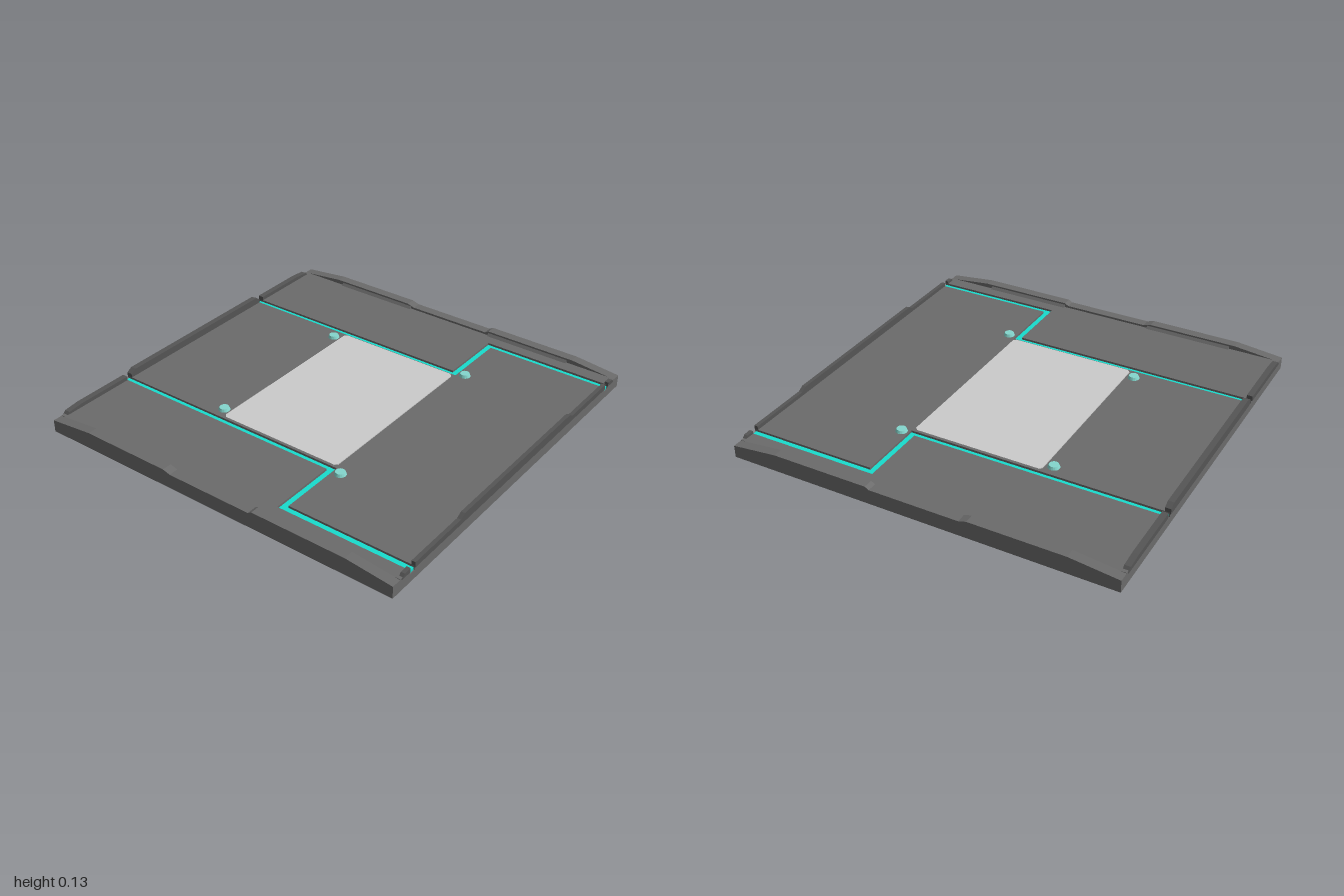
import * as THREE from 'three';

const mat = (color, side = THREE.FrontSide) => new THREE.MeshStandardMaterial({ color, flatShading: true, side });
const body = mat(0x6b6b6b), trim = mat(0x555555), teal = mat(0x18dccd), plateMat = mat(0xcccccc);
const ringMat = mat(0x484848), lamp = mat(0x84d6cd), patch = mat(0x5a5a5a);

export function createModel() {
  const root = new THREE.Group();
  root.name = 'floorTile';

  const add = (name, geo, material, x = 0, y = 0, z = 0) => {
    const m = new THREE.Mesh(geo, material);
    m.name = name;
    m.position.set(x, y, z);
    root.add(m);
    return m;
  };
  // box given by its min and max corners
  const box = (name, material, x0, x1, y0, y1, z0, z1) =>
    add(name, new THREE.BoxGeometry(x1 - x0, y1 - y0, z1 - z0), material, (x0 + x1) / 2, (y0 + y1) / 2, (z0 + z1) / 2);
  const outline = (pts) => new THREE.Shape(pts.map(([a, b]) => new THREE.Vector2(a, b)));
  const extrude = (pts, depth) => new THREE.ExtrudeGeometry(outline(pts), { depth, bevelEnabled: false });
  // horizontal slab from [x, z] points
  const slab = (name, material, pts, y0, y1) => {
    const m = add(name, extrude(pts.map(([x, z]) => [x, -z]), y1 - y0), material, 0, y0, 0);
    m.rotation.x = -Math.PI / 2;
    return m;
  };

  // base and floor panels, separated by the channels
  box('base', body, -0.95, 0.95, 0.027, 0.07, -0.995, 0.99);
  slab('centrePanel', body, [
    [-0.5, -0.995], [0.5, -0.995], [0.5, 0.33], [0.845, 0.33],
    [0.845, 0.99], [-0.845, 0.99], [-0.845, 0.33], [-0.5, 0.33],
  ], 0.07, 0.093);

  for (const s of [1, -1]) {
    slab('sidePanel', body, [
      [0.53, -0.995], [0.95, -0.995], [0.95, 0.99], [0.88, 0.99], [0.88, 0.295], [0.53, 0.295],
    ].map(([x, z]) => [s * x, z]), 0.07, 0.093);

    // glowing strip lying in the channel
    slab('lightStrip', teal, [
      [0.5, -0.99], [0.53, -0.99], [0.53, 0.295], [0.88, 0.295],
      [0.88, 0.985], [0.845, 0.985], [0.845, 0.33], [0.5, 0.33],
    ].map(([x, z]) => [s * x, z]), 0.068, 0.082);

    // side rim: tapering ends and a lower middle
    const rim = add('sideRim', extrude([
      [-0.99, 0.027], [0.995, 0.027], [0.995, 0.09], [0.75, 0.116], [0.27, 0.116], [0.23, 0.104],
      [-0.23, 0.104], [-0.25, 0.116], [-0.75, 0.116], [-0.99, 0.09],
    ], 0.05), body, s > 0 ? 0.95 : -1, 0, 0);
    rim.rotation.y = Math.PI / 2;

    // sloping lip inside each rim
    for (const [z0, z1] of [[-0.72, -0.25], [0.25, 0.72]]) {
      const lip = add('rimLip', extrude([[0, 0.09], [s * 0.015, 0.09], [s * 0.015, 0.108]], z1 - z0), body, s * 0.936, 0, z0);
      lip.material = mat(0x6b6b6b, THREE.DoubleSide);
    }

    // round lamps beside the plate
    for (const [x, z] of [[0.44, -0.4], [0.525, 0.37]])
      add('lamp', new THREE.CylinderGeometry(0.024, 0.03, 0.016, 20), lamp, s * x, 0.1, z);

    // outer parts of the end ridges, broken where the channels run out
    const back = [[0.53, 0.085], [0.94, 0.085], [0.92, 0.105], [0.84, 0.113], [0.53, 0.113]];
    const front = [[0.88, 0.085], [0.94, 0.085], [0.92, 0.105], [0.88, 0.107]];
    add('backRidgeEnd', extrude(back.map(([x, y]) => [s * x, y]), 0.03), trim, 0, 0, -1);
    add('frontRidgeEnd', extrude(front.map(([x, y]) => [s * x, y]), 0.02), trim, 0, 0, 0.973);
  }

  // middle parts of the end ridges
  const ridge = (w) => [[-w, 0.085], [w, 0.085], [w, 0.113], [0.5, 0.113], [0.47, 0.13],
    [-0.47, 0.13], [-0.5, 0.113], [-w, 0.113]];
  add('frontRidge', extrude(ridge(0.845), 0.02), trim, 0, 0, 0.973);
  add('backRidge', extrude([[-0.5, 0.085], [0.5, 0.085], [0.5, 0.113], [0.47, 0.13], [-0.47, 0.13], [-0.5, 0.113]], 0.03), trim, 0, 0, -1);

  // pale centre plate with clipped corners
  const [x1, z0, z1, c] = [0.49, -0.36, 0.32, 0.015];
  slab('centrePlate', plateMat, [
    [-x1 + c, z0], [x1 - c, z0], [x1, z0 + c], [x1, z1 - c],
    [x1 - c, z1], [-x1 + c, z1], [-x1, z1 - c], [-x1, z0 + c],
  ], 0.085, 0.098);

  // stepped ring under the tile
  const ring = (name, material, rIn, rOut, y0) => {
    const g = new THREE.LatheGeometry([[rIn, 0.03], [rIn, y0], [rOut, y0], [rOut, 0.03]]
      .map(([r, y]) => new THREE.Vector2(r, y)), 40);
    const m = material.clone();
    m.side = THREE.DoubleSide;
    add(name, g, m, -0.01, 0, -0.04);
  };
  ring('outerRing', ringMat, 0.172, 0.196, 0.012);
  ring('middleRing', ringMat, 0.148, 0.172, 0.003);
  ring('glowRing', teal, 0.142, 0.148, 0.014);
  ring('innerRing', ringMat, 0.122, 0.142, 0.008);

  // thin darker patches on the underside
  box('undersidePatch', patch, -0.94, -0.31, 0.025, 0.03, -0.79, -0.47);
  box('undersidePatch', patch, -0.28, 0.35, 0.025, 0.03, 0.91, 0.985);

  return root;
}
